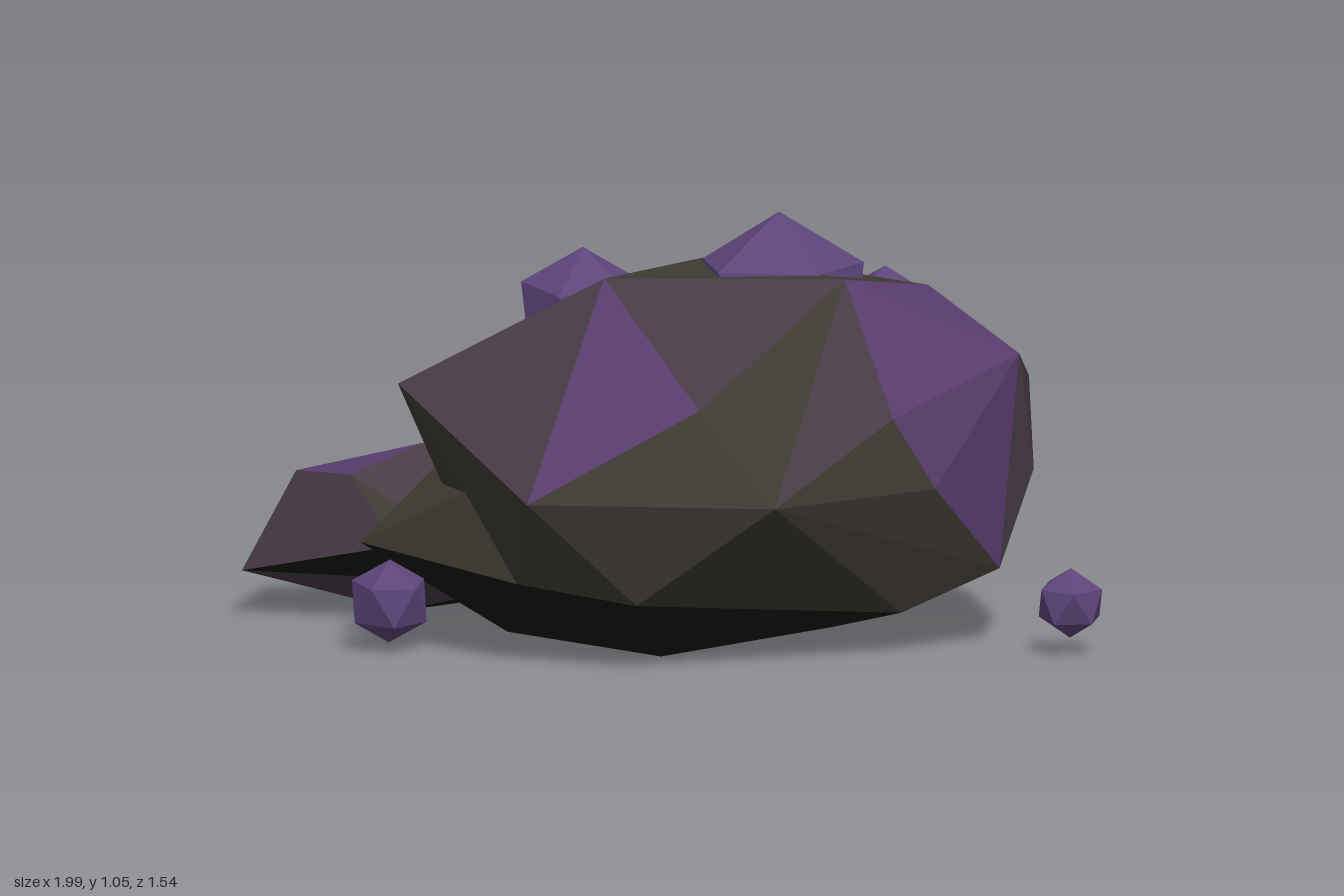
import * as THREE from 'three';
import { ConvexGeometry } from 'three/addons/geometries/ConvexGeometry.js';

const mat = (color) => new THREE.MeshStandardMaterial({ color, flatShading: true });
const STONE = mat(0x3e3a33), MAUVE = mat(0x483b46), PURPLE = mat(0x593d6e), BASE = mat(0x171613);
const CRYSTAL = mat(0x5d457b), RIM = mat(0x8050a0), PIT = mat(0x191420);

const vec = (p) => new THREE.Vector3(...p);

function triangles(points, material, name) {
  const geo = new THREE.BufferGeometry().setFromPoints(points);
  geo.computeVertexNormals();
  const mesh = new THREE.Mesh(geo, material);
  mesh.name = name;
  return mesh;
}

// Faceted rock through the given corners; faces near a vein centre turn mauve or purple, low ones dark
function rock(name, corners, veins) {
  const group = new THREE.Group();
  group.name = name;
  const pos = new ConvexGeometry(corners.map(vec)).getAttribute('position');
  const lists = [[], [], [], []];
  for (let i = 0; i < pos.count; i += 3) {
    const tri = [0, 1, 2].map((k) => new THREE.Vector3().fromBufferAttribute(pos, i + k));
    const mid = tri[0].clone().add(tri[1]).add(tri[2]).divideScalar(3);
    const d = Math.min(9, ...veins.map((v) => mid.distanceTo(vec(v))));
    const kind = d < 0.2 ? 2 : d < 0.38 ? 1 : mid.y < 0.2 ? 3 : 0;
    lists[kind].push(...tri);
  }
  [STONE, MAUVE, PURPLE, BASE].forEach((m, i) => {
    if (lists[i].length) group.add(triangles(lists[i], m, name + ['Stone', 'Mauve', 'Vein', 'Base'][i]));
  });
  return group;
}

// Large crystal standing on a point, with one hollow, rimmed face
function hollowCrystal() {
  const group = new THREE.Group();
  group.name = 'hollowCrystal';
  const r = 0.235, center = vec([0.25, 0.815, 0.06]);
  const ring = (h, turn) => Array.from({ length: 5 }, (_, i) => {
    const a = turn + (i * Math.PI * 2) / 5;
    return vec([Math.cos(a) * 0.894 * r, h * r, Math.sin(a) * 0.894 * r]).add(center);
  });
  const apex = center.clone().setY(center.y + r);
  const foot = center.clone().setY(center.y - r);
  const start = 1.2 * Math.PI;
  const up = ring(0.447, start), low = ring(-0.447, start + Math.PI / 5);
  const body = [];
  for (let i = 0; i < 5; i++) {
    const j = (i + 1) % 5;
    if (i) body.push(apex, up[j], up[i]);
    body.push(up[i], up[j], low[i], up[j], low[j], low[i], foot, low[i], low[j]);
  }
  group.add(triangles(body, CRYSTAL, 'crystalBody'));

  // Rim and sunken pit of the open face
  const outer = [apex, up[1], up[0]];
  const mid = apex.clone().add(up[0]).add(up[1]).divideScalar(3);
  const inner = outer.map((p) => p.clone().lerp(mid, 0.42));
  const deep = inner.map((p) => p.clone().lerp(center, 0.35));
  const rim = [], pit = [...deep];
  for (let i = 0; i < 3; i++) {
    const j = (i + 1) % 3;
    rim.push(outer[i], outer[j], inner[i], outer[j], inner[j], inner[i]);
    pit.push(inner[i], inner[j], deep[i], inner[j], deep[j], deep[i]);
  }
  group.add(triangles(rim, RIM, 'crystalRim'), triangles(pit, PIT, 'crystalPit'));
  return group;
}

export function createModel() {
  const model = new THREE.Group();

  // Main boulder: crown, shoulder, waist, lower ring, underside
  model.add(rock('boulder', [
    [-0.19, 0.9, 0.1], [0.37, 0.92, 0.34], [0.1, 0.915, -0.12], [0.64, 0.84, -0.07],
    [0.34, 0.845, -0.47],
    [-0.07, 0.7, -0.66], [0.37, 0.66, -0.6], [-0.03, 0.64, 0.59], [0.46, 0.6, 0.53],
    [0.81, 0.72, 0.29], [0.885, 0.615, -0.04], [0.83, 0.645, -0.38], [-0.68, 0.63, -0.04],
    [-0.36, 0.57, 0.4],
    [0.13, 0.42, 0.77], [-0.46, 0.42, 0.61], [0.57, 0.42, 0.5], [0.86, 0.42, 0.2],
    [0.85, 0.42, -0.26], [0.58, 0.42, -0.52], [0.15, 0.42, -0.66], [-0.46, 0.42, -0.67],
    [-0.19, 0.165, 0.62], [-0.46, 0.2, 0.45], [0.5, 0.1, 0.4], [0.76, 0.19, 0.3],
    [0.8, 0.165, 0], [0.75, 0.17, -0.41], [0.3, 0.165, -0.55], [-0.28, 0.14, -0.59],
    [-0.1, 0.01, 0.43], [0.38, 0.015, 0.05], [-0.43, 0.03, 0.1], [0.1, 0.025, -0.37],
    [-0.35, 0.03, -0.28],
  ], [
    [-0.25, 0.7, 0.36], [0.6, 0.75, 0.34], [0.72, 0.6, 0.35], [-0.4, 0.6, -0.45],
  ]));

  // Smaller rock leaning at the back
  model.add(rock('backRock', [
    [-1, 0.11, -0.475], [-0.84, 0.33, -0.64], [-0.67, 0.12, -0.775], [-0.39, 0.315, -0.765],
    [-0.35, 0.36, -0.62], [-0.55, 0.415, -0.48], [-0.75, 0.36, -0.35], [-0.66, 0.2, -0.22],
    [-0.6, 0, -0.48], [-0.47, 0.02, -0.45], [-0.2, 0.1, -0.66], [-0.2, 0.1, -0.48],
    [-0.23, 0.3, -0.5], [-0.35, 0.1, -0.2],
  ], [[-0.6, 0.36, -0.62]]));

  // Wedge of stone jutting from the side below the overhang
  model.add(rock('sideWedge', [
    [-0.78, 0.245, 0], [-0.54, 0.42, -0.2], [-0.53, 0.42, 0.27], [-0.46, 0.2, 0.45],
    [-0.43, 0.03, 0.1], [-0.42, 0.06, -0.35], [-0.2, 0.2, 0],
  ], []));

  // Crystals standing on a point, embedded on top or lying loose: x, y, z, radius, turn
  [
    ['crownCrystal', -0.195, 0.765, -0.23, 0.168, 0.4],
    ['backCrystal', 0.575, 0.75, -0.35, 0.1, 1.1],
    ['looseCrystalRight', -0.73, 0.12, 0.145, 0.105, 0.3],
    ['looseCrystalLeft', 0.91, 0.125, 0.465, 0.088, 0.9],
  ].forEach(([name, x, y, z, r, turn]) => {
    const mesh = new THREE.Mesh(new THREE.IcosahedronGeometry(r, 0), CRYSTAL);
    mesh.name = name;
    mesh.position.set(x, y, z);
    mesh.rotation.set(0.1, turn, -0.5536);
    model.add(mesh);
  });
  model.add(hollowCrystal());
  return model;
}
